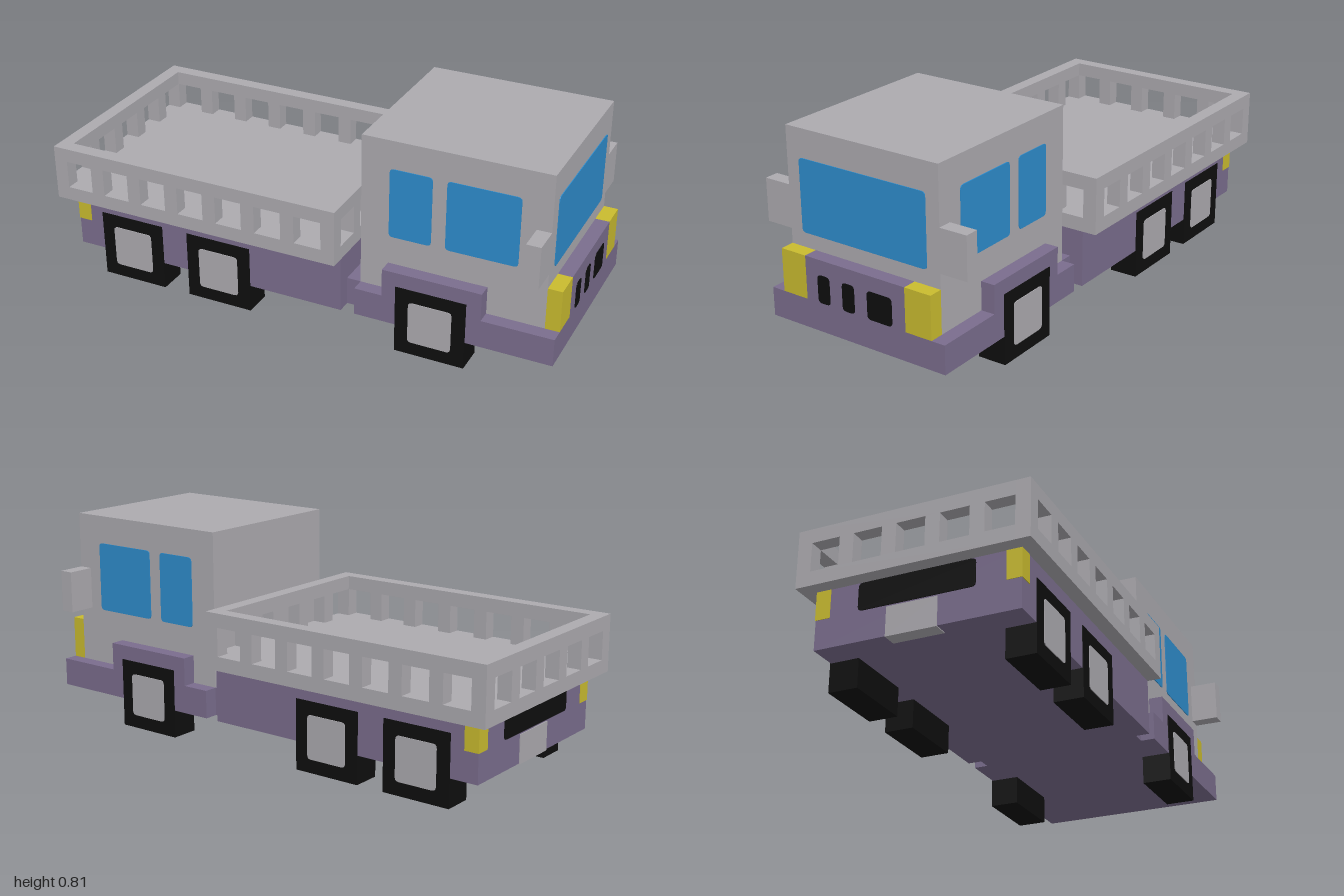
import * as THREE from 'three';

const paint = (name, color) => Object.assign(new THREE.MeshStandardMaterial({ color }), { name });

export function createModel() {
  const grey = paint('light grey', 0xacaaaf);
  const purple = paint('muted purple', 0x7a6d8d);
  const blue = paint('window blue', 0x2e8ccc);
  const yellow = paint('lamp yellow', 0xc9bb2f);
  const black = paint('rubber black', 0x0e0e0e);

  const truck = new THREE.Group();
  truck.name = 'truck';

  const add = (name, geometry, material) => {
    const mesh = new THREE.Mesh(geometry, material);
    mesh.name = name;
    truck.add(mesh);
    return mesh;
  };

  // Box given by its limits on each axis
  const box = (name, material, x0, x1, y0, y1, z0, z1) => {
    const mesh = add(name, new THREE.BoxGeometry(x1 - x0, y1 - y0, z1 - z0), material);
    mesh.position.set((x0 + x1) / 2, (y0 + y1) / 2, (z0 + z1) / 2);
  };

  // Thin rounded plate, centred on its own origin and facing +z
  const plate = (w, h, r = 0.015, depth = 0.003) => {
    const s = new THREE.Shape();
    const a = w / 2, b = h / 2;
    s.moveTo(-a + r, -b).lineTo(a - r, -b).quadraticCurveTo(a, -b, a, -b + r)
      .lineTo(a, b - r).quadraticCurveTo(a, b, a - r, b)
      .lineTo(-a + r, b).quadraticCurveTo(-a, b, -a, b - r)
      .lineTo(-a, -b + r).quadraticCurveTo(-a, -b, -a + r, -b);
    return new THREE.ExtrudeGeometry(s, { depth, bevelEnabled: false, curveSegments: 3 });
  };

  // Plate on a side wall: side is +1 or -1 along z
  const sidePlate = (name, material, side, x0, x1, y0, y1, z) => {
    const m = add(name, plate(x1 - x0, y1 - y0), material);
    m.position.set((x0 + x1) / 2, (y0 + y1) / 2, side * z);
    if (side < 0) m.rotation.y = Math.PI;
  };

  // Plate on an end wall: end is +1 or -1 along x
  const endPlate = (name, material, end, z0, z1, y0, y1, x) => {
    const m = add(name, plate(z1 - z0, y1 - y0), material);
    m.position.set(end * x, (y0 + y1) / 2, (z0 + z1) / 2);
    m.rotation.y = end * Math.PI / 2;
  };

  // Chassis and cab
  box('rearChassis', purple, -0.946, 0.189, 0.108, 0.324, -0.378, 0.378);
  box('chassisLink', purple, 0.189, 0.243, 0.108, 0.216, -0.324, 0.324);
  box('frontChassis', purple, 0.243, 1, 0.108, 0.216, -0.378, 0.378);
  box('noseGrille', purple, 0.946, 1, 0.216, 0.378, -0.216, 0.216);
  box('cab', grey, 0.243, 0.946, 0.216, 0.811, -0.324, 0.324);
  endPlate('windshield', blue, 1, -0.27, 0.27, 0.434, 0.705, 0.946);

  // Slots in the nose
  for (const [z0, z1] of [[0.11, 0.163], [0.001, 0.054], [-0.161, -0.055]])
    endPlate('grilleSlot', black, 1, z0, z1, 0.218, 0.322, 0.999);

  // Parts mirrored on both sides
  for (const side of [1, -1]) {
    const pair = (name, material, x0, x1, y0, y1, zIn, zOut) =>
      box(name, material, x0, x1, y0, y1, Math.min(side * zIn, side * zOut), Math.max(side * zIn, side * zOut));
    pair('fender', purple, 0.351, 0.73, 0.216, 0.324, 0.324, 0.378);
    pair('headlight', yellow, 0.946, 1, 0.216, 0.378, 0.216, 0.324);
    pair('tailLight', yellow, -0.948, -0.892, 0.218, 0.324, 0.324, 0.38);
    pair('wingMirror', grey, 0.892, 0.946, 0.434, 0.595, 0.324, 0.432);
    sidePlate('rearSideWindow', blue, side, 0.352, 0.513, 0.434, 0.703, 0.324);
    sidePlate('frontSideWindow', blue, side, 0.567, 0.836, 0.434, 0.703, 0.324);
    for (const x of [-0.703, -0.324, 0.54]) {
      pair('wheel', black, x - 0.135, x + 0.135, 0, 0.268, 0.27, 0.381);
      sidePlate('wheelHub', grey, side, x - 0.083, x + 0.083, 0.052, 0.218, 0.381);
    }
  }

  // Tail details
  endPlate('tailStrip', black, -1, -0.216, 0.216, 0.22, 0.322, 0.946);
  box('tailPlate', grey, -0.949, -0.892, 0.105, 0.214, -0.108, 0.08);

  // Load bed: floor and four pierced walls
  box('bedFloor', grey, -0.95, 0.14, 0.324, 0.378, -0.38, 0.38);
  const wall = (length, count) => {
    const s = new THREE.Shape();
    const a = length / 2;
    s.moveTo(-a, 0).lineTo(a, 0).lineTo(a, 0.217).lineTo(-a, 0.217).closePath();
    for (let i = 0; i < count; i++) {
      const x = (i - (count - 1) / 2) * 0.162;
      const h = new THREE.Path();
      h.moveTo(x - 0.054, 0.054).lineTo(x - 0.054, 0.163)
        .lineTo(x + 0.054, 0.163).lineTo(x + 0.054, 0.054).closePath();
      s.holes.push(h);
    }
    return new THREE.ExtrudeGeometry(s, { depth: 0.054, bevelEnabled: false });
  };
  for (const z of [0.378, -0.432])
    add('bedSideWall', wall(1.189, 7), grey).position.set(-0.4055, 0.324, z);
  for (const x of [-1, 0.135]) {
    const m = add('bedEndWall', wall(0.756, 5), grey);
    m.position.set(x, 0.324, 0);
    m.rotation.y = Math.PI / 2;
  }

  return truck;
}
